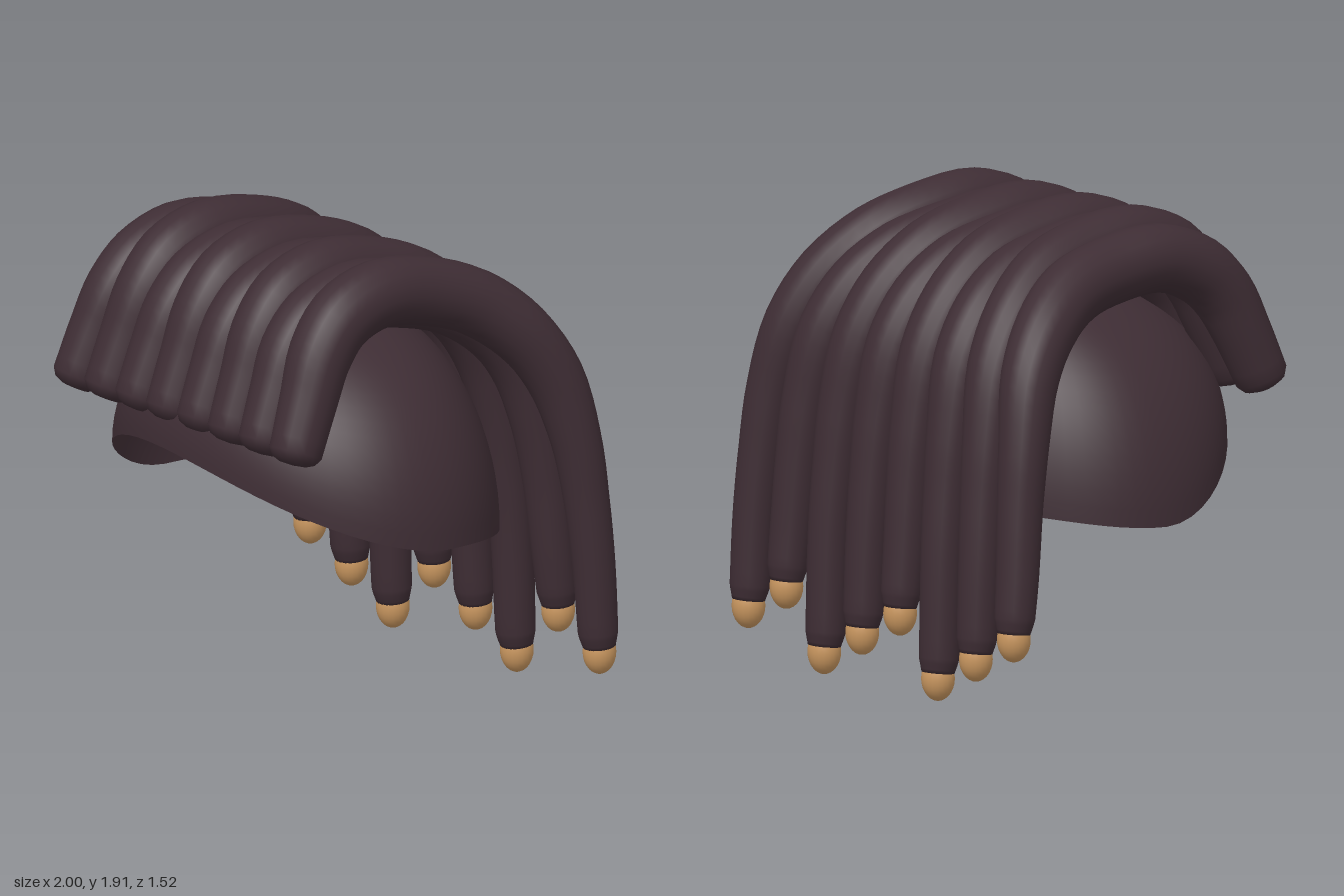
import * as THREE from 'three';

const hair = new THREE.MeshStandardMaterial({ color: 0x3e2d34, side: THREE.DoubleSide });
hair.name = 'dark hair';
const tan = new THREE.MeshStandardMaterial({ color: 0xc8965f });
tan.name = 'tan bead';

// Indexed grid of rings, closed around
function skin(rings, sides) {
  const pos = [], idx = [];
  rings.forEach(ring => ring.forEach(p => pos.push(p.x, p.y, p.z)));
  for (let i = 0; i < rings.length - 1; i++) {
    for (let j = 0; j < sides; j++) {
      const k = (j + 1) % sides;
      const a = i * sides + j, b = i * sides + k, c = a + sides, d = b + sides;
      idx.push(a, b, c, b, d, c);
    }
  }
  const g = new THREE.BufferGeometry();
  g.setAttribute('position', new THREE.Float32BufferAttribute(pos, 3));
  g.setIndex(idx);
  g.computeVertexNormals();
  return g;
}

// One lock, from the blunt front end over the head and down the back
function lockGeometry(frontX, lift, endY) {
  // z, y, sideways spread, radius, share of lift
  const rows = [
    [0.66, 1.225, 1.0, 0.108, 0], [0.575, 1.43, 0.97, 0.118, 0.2], [0.5, 1.595, 0.94, 0.13, 0.6],
    [0.39, 1.72, 0.925, 0.137, 1], [0.2, 1.785, 0.92, 0.138, 1], [-0.04, 1.755, 0.93, 0.138, 1],
    [-0.25, 1.68, 0.99, 0.136, 0.7], [-0.425, 1.54, 1.1, 0.128, 0.3], [-0.545, 1.35, 1.19, 0.118, 0],
    [-0.61, 1.1, 1.265, 0.102, 0], [-0.645, 0.85, 1.3, 0.092, 0], [-0.67, 0.57, 1.325, 0.086, 0],
    [-0.686, endY + 0.06, 1.333, 0.081, 0], [-0.692, endY, 1.335, 0.066, 0],
  ];
  const curve = new THREE.CatmullRomCurve3(
    rows.map(([z, y, s, , l]) => new THREE.Vector3(frontX * s, y + lift * l, z)));
  const sides = 18, steps = (rows.length - 1) * 4, rings = [];
  const addRing = (t, shift, scale) => {
    const T = curve.getTangent(t);
    const c = curve.getPoint(t).addScaledVector(T, shift);
    const S = new THREE.Vector3(1, 0, 0).addScaledVector(T, -T.x).normalize();
    const N = new THREE.Vector3().crossVectors(T, S);
    const f = t * (rows.length - 1), i = Math.min(Math.floor(f), rows.length - 2);
    const r = scale * THREE.MathUtils.lerp(rows[i][3], rows[i + 1][3], f - i);
    rings.push(Array.from({ length: sides }, (_, j) => {
      const a = j / sides * Math.PI * 2;
      return c.clone().addScaledVector(S, r * Math.cos(a)).addScaledVector(N, r * Math.sin(a));
    }));
  };
  // rounded front end, body, closed back end
  [[-0.05, 0], [-0.045, 0.5], [-0.03, 0.82]].forEach(([d, s]) => addRing(0, d, s));
  for (let i = 0; i <= steps; i++) addRing(i / steps, 0, 1);
  addRing(1, 0, 0);
  return skin(rings, sides);
}

// Open cap whose rim rises at the front and ripples gently
function capGeometry() {
  const sides = 64, bands = 20, rings = [];
  for (let i = 0; i <= bands; i++) {
    const a = i / bands * Math.PI / 2;
    const spread = Math.pow(Math.sin(a), 0.85);
    rings.push(Array.from({ length: sides }, (_, j) => {
      const th = j / sides * Math.PI * 2;
      const rim = 0.735 + 0.345 * Math.pow(Math.max(0, Math.cos(th)), 1.7) - 0.03 * Math.sin(3 * th);
      return new THREE.Vector3(
        0.9 * spread * Math.sin(th),
        rim + (1.6 - rim) * Math.cos(a),
        0.06 * Math.sin(a) + 0.67 * spread * Math.cos(th));
    }));
  }
  // top to rim, ordered so the outside faces out
  return skin(rings.reverse(), sides);
}

export function createModel() {
  const model = new THREE.Group();
  model.name = 'lockedHair';

  const cap = new THREE.Mesh(capGeometry(), hair);
  cap.name = 'cap';
  model.add(cap);

  const beadShape = new THREE.SphereGeometry(1, 20, 14);
  for (let i = 0; i < 8; i++) {
    const frontX = (i - 3.5) * 0.197;
    const endY = 0.35 - 0.113 * (i % 3);
    const lock = new THREE.Group();
    lock.name = 'lock' + (i + 1);

    const strand = new THREE.Mesh(lockGeometry(frontX, i % 2 ? 0 : -0.05, endY), hair);
    strand.name = 'strand';
    const bead = new THREE.Mesh(beadShape, tan);
    bead.name = 'tipBead';
    bead.scale.set(0.067, 0.09, 0.067);
    bead.position.set(frontX * 1.335, endY - 0.024, -0.692);
    lock.add(strand, bead);
    model.add(lock);
  }
  return model;
}
